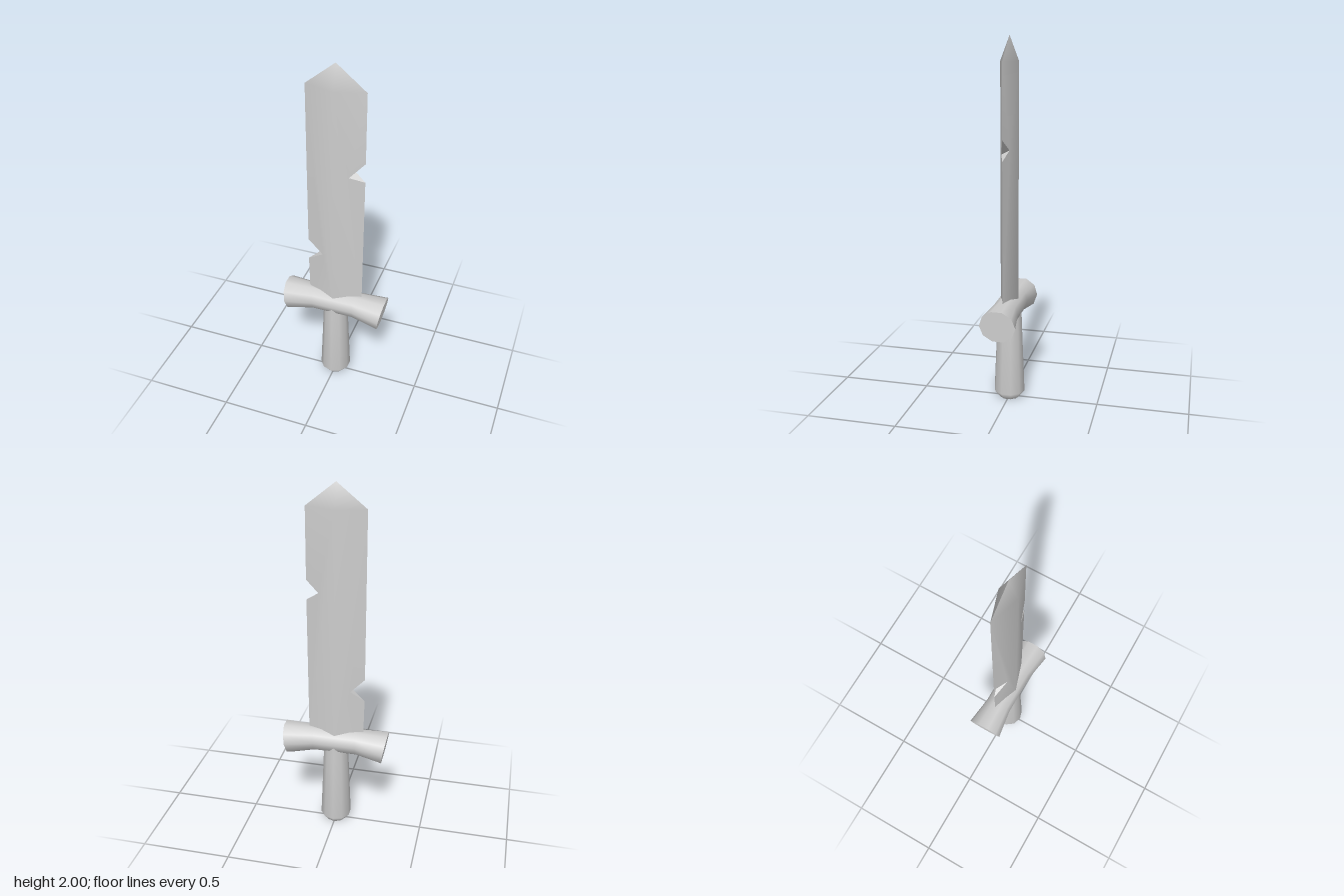
import * as THREE from 'three';
import { mergeVertices } from 'three/addons/utils/BufferGeometryUtils.js';

const steel = new THREE.MeshStandardMaterial({ color: 0xcccccc });
steel.name = 'grey steel';

const HALF = 0.16, THICK = 0.05, SHOULDER = 1.87, ROOT = 0.55;

// One chip per edge: lower and upper lip, and the apex on the front and back face
const chips = [
  { side: 1, low: 1.37, up: 1.48, front: [0.08, 1.395], back: [0.09, 1.42] },
  { side: -1, low: 0.8, up: 0.93, front: [0.065, 0.87], back: [0.085, 0.86] },
];

function named(geometry, name) {
  const mesh = new THREE.Mesh(geometry, steel);
  mesh.name = name;
  return mesh;
}

function fromTriangles(points, smooth) {
  let g = new THREE.BufferGeometry();
  g.setAttribute('position', new THREE.Float32BufferAttribute(points.flat(), 3));
  if (smooth) g = mergeVertices(g);
  g.computeVertexNormals();
  return g;
}

// Height of the diamond section above the middle plane
const bulge = (x) => (Math.abs(x) > 0.15 ? 0 : THICK * (1 - Math.abs(x) / HALF));

// Both halves of one blade face, smooth over the central ridge
function bladeFace(facing) {
  const points = [];
  for (const chip of chips) {
    const [ax, ay] = facing > 0 ? chip.front : chip.back;
    const body = [
      [0, ROOT], [0.155, ROOT], [HALF, chip.low], [ax, ay],
      [HALF, chip.up], [HALF, SHOULDER], [0, SHOULDER],
    ];
    const tip = [[0, SHOULDER], [HALF, SHOULDER], [0, 2]];
    for (const outline of [body, tip]) {
      const contour = outline.map(([x, y]) => new THREE.Vector2(x * chip.side, y));
      if (chip.side < 0) contour.reverse();
      for (const tri of THREE.ShapeUtils.triangulateShape(contour, [])) {
        if (facing < 0) tri.reverse();
        for (const i of tri) {
          const { x, y } = contour[i];
          points.push([x, y, y > 1.99 ? 0 : facing * bulge(x)]);
        }
      }
    }
  }
  return fromTriangles(points, true);
}

// Two flat walls inside each chip
function chipWalls({ side, low, up, front, back }) {
  const f = [side * front[0], front[1], bulge(front[0])];
  const b = [side * back[0], back[1], -bulge(back[0])];
  const l = [side * HALF, low, 0], u = [side * HALF, up, 0];
  return fromTriangles(side > 0 ? [l, b, f, u, f, b] : [l, f, b, u, b, f], false);
}

// Ten-sided bar, waisted in the middle, with flat top line and slanted ends
function guardGeometry() {
  const g = new THREE.CylinderGeometry(1, 1, 0.56, 10, 3).rotateZ(Math.PI / 2);
  const p = g.attributes.position;
  for (let i = 0; i < p.count; i++) {
    const x = p.getX(i), y = p.getY(i), z = p.getZ(i), s = Math.sign(x);
    if (Math.abs(x) > 0.2) p.setXYZ(i, s * (0.281 + 0.016 * y), 0.517 + 0.092 * y, 0.098 * z);
    else p.setXYZ(i, s * 0.12, 0.533 + 0.074 * y, 0.075 * z);
  }
  return g;
}

export function createModel() {
  const model = new THREE.Group();
  model.name = 'sword';

  // Blade
  const blade = new THREE.Group();
  blade.name = 'blade';
  blade.add(named(bladeFace(1), 'bladeFront'), named(bladeFace(-1), 'bladeBack'));
  for (const chip of chips) {
    blade.add(named(chipWalls(chip), chip.side > 0 ? 'leftChip' : 'rightChip'));
  }

  // Guard
  const guard = named(guardGeometry(), 'guard');

  // Grip, widening to a bevelled foot
  const profile = [[0.056, 0], [0.087, 0.04], [0.07, 0.45], [0.068, 0.53]];
  const grip = named(
    new THREE.LatheGeometry(profile.map(([r, y]) => new THREE.Vector2(r, y)), 10), 'grip');
  const foot = named(
    new THREE.CircleGeometry(0.056, 10, Math.PI / 2).rotateX(Math.PI / 2), 'gripFoot');

  model.add(blade, guard, grip, foot);
  return model;
}
